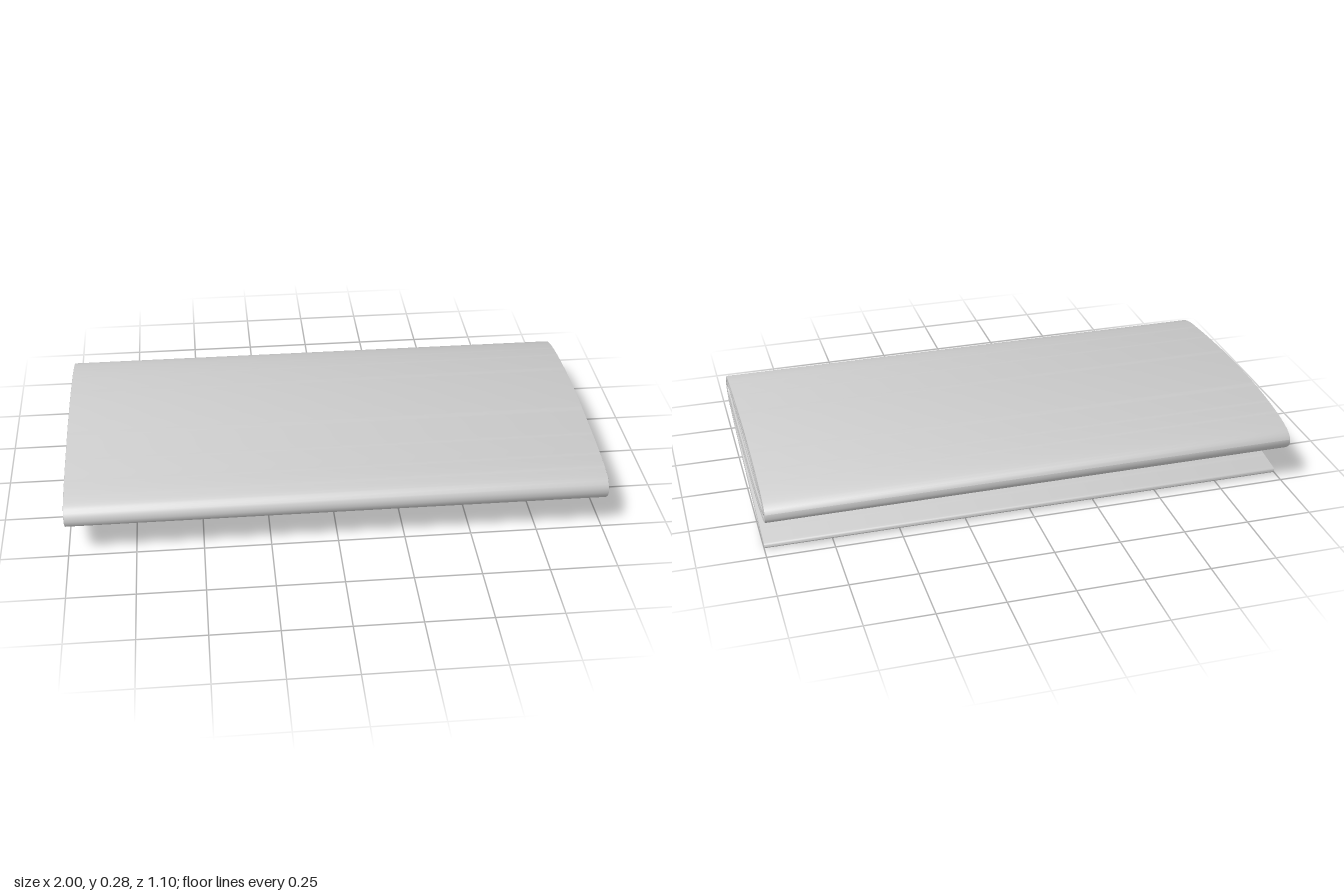
import * as THREE from 'three';
import { toCreasedNormals } from 'three/addons/utils/BufferGeometryUtils.js';

const LENGTH = 2;
const HALF = 0.01; // half the sheet thickness
const BEVEL = 0.004;

// Sweep a [z, y] centre line into a thick sheet running along x.
function sheet(name, points, samples, length, half = HALF) {
  const curve = new THREE.CatmullRomCurve3(points.map(([z, y]) => new THREE.Vector3(-z, y, 0)));
  const left = [], right = [];
  for (let i = 0; i <= samples; i++) {
    const p = curve.getPointAt(i / samples), t = curve.getTangentAt(i / samples);
    left.push(new THREE.Vector2(p.x - t.y * half, p.y + t.x * half));
    right.push(new THREE.Vector2(p.x + t.y * half, p.y - t.x * half));
  }
  // Rounded edge at each end of the sheet
  const cap = (u, sign) => {
    const p = curve.getPointAt(u), t = curve.getTangentAt(u).multiplyScalar(sign);
    return [1, 2, 3, 4, 5].map((k) => {
      const a = (k / 6) * Math.PI, c = Math.cos(a) * half, s = Math.sin(a) * half;
      return new THREE.Vector2(p.x - t.y * c + t.x * s, p.y + t.x * c + t.y * s);
    });
  };
  const outline = [...left, ...cap(1, 1), ...right.reverse(), ...cap(0, -1)];
  let geometry = new THREE.ExtrudeGeometry(new THREE.Shape(outline), {
    depth: length - 2 * BEVEL, steps: 1,
    bevelEnabled: true, bevelSize: BEVEL, bevelOffset: -BEVEL, bevelThickness: BEVEL, bevelSegments: 2,
  });
  geometry.translate(0, 0, -length / 2 + BEVEL);
  geometry.rotateY(Math.PI / 2);
  geometry = toCreasedNormals(geometry, 0.7);
  const mesh = new THREE.Mesh(geometry, new THREE.MeshStandardMaterial({
    color: 0xcccccc, roughness: 0.8, side: THREE.DoubleSide,
  }));
  mesh.name = name;
  return mesh;
}

export function createModel() {
  const group = new THREE.Group();
  group.name = 'foldedCloth';

  // Loose flap, front fold, and outer wrap back round to the front
  group.add(sheet('outerWrapAndFlap', [
    [-0.435, 0.014], [-0.2, 0.043], [0, 0.068], [0.2, 0.094], [0.4, 0.125], [0.49, 0.147],
    [0.53, 0.172], [0.54, 0.196], [0.525, 0.221], [0.47, 0.24], [0.35, 0.254], [0.2, 0.265],
    [0, 0.274], [-0.2, 0.271], [-0.4, 0.253], [-0.5, 0.232], [-0.532, 0.216], [-0.54, 0.2],
    [-0.53, 0.18], [-0.5, 0.163], [-0.4, 0.146], [-0.2, 0.135], [0, 0.135], [0.2, 0.14],
    [0.37, 0.148], [0.46, 0.163], [0.5, 0.178], [0.514, 0.195],
    [0.5, 0.212], [0.44, 0.223], [0.3, 0.235], [0, 0.248],
    [-0.2, 0.246], [-0.38, 0.232], [-0.47, 0.22], [-0.508, 0.2], [-0.47, 0.178],
    [-0.38, 0.168], [-0.2, 0.16], [0, 0.16], [0.2, 0.163], [0.36, 0.171], [0.44, 0.182],
  ], 420, LENGTH));

  // Inner folded layers filling the core
  group.add(sheet('innerFold', [
    [0.42, 0.206], [0.25, 0.215], [0, 0.224], [-0.2, 0.222], [-0.38, 0.212], [-0.455, 0.207],
    [-0.476, 0.199], [-0.455, 0.191], [-0.38, 0.188], [-0.2, 0.182], [0, 0.181], [0.2, 0.184], [0.38, 0.191],
  ], 160, LENGTH - 0.01, 0.007));
  group.add(sheet('coreLayer', [
    [0.32, 0.201], [0, 0.203], [-0.34, 0.201],
  ], 30, LENGTH - 0.02, 0.006));

  return group;
}
